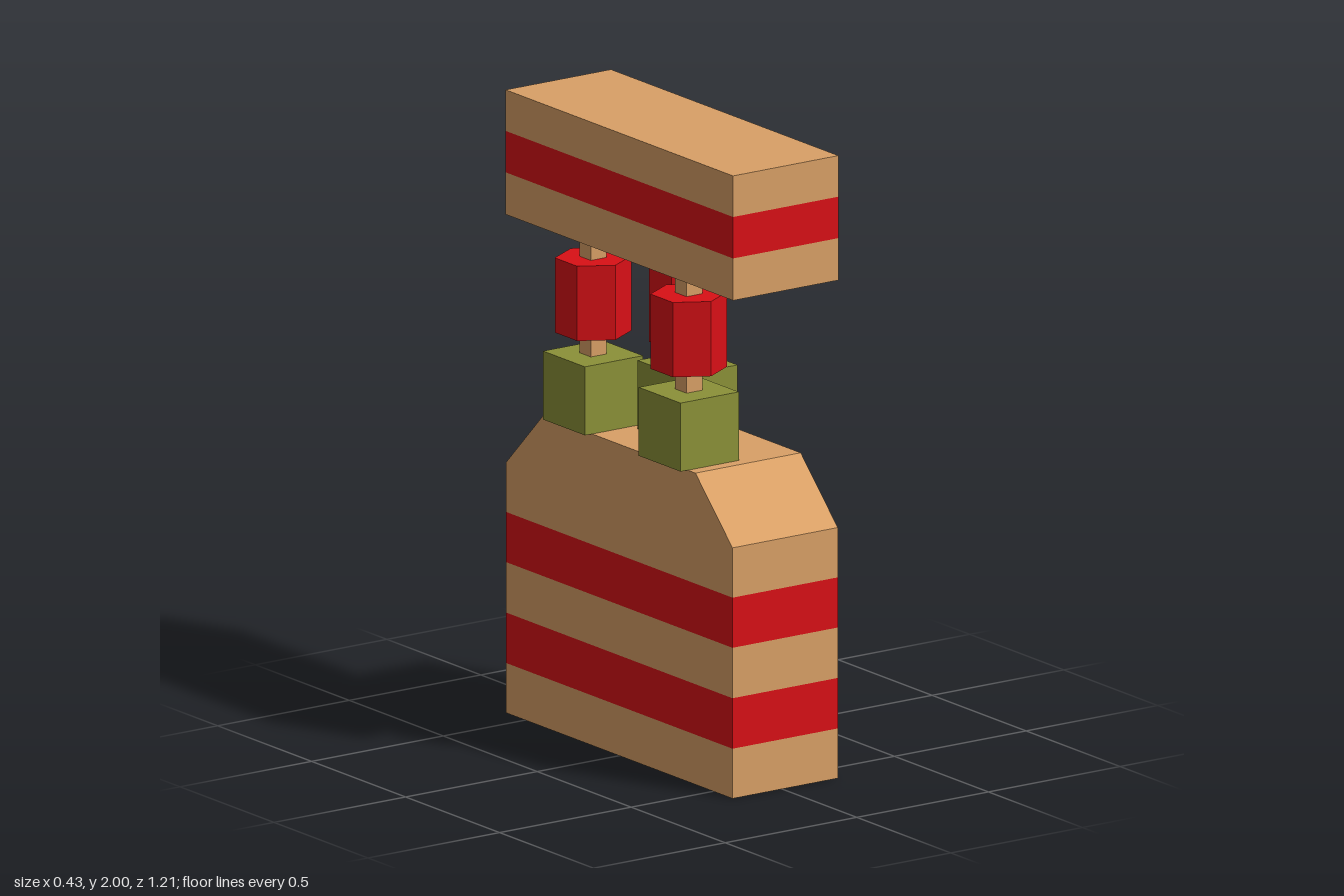
import * as THREE from 'three';

const material = (color) => new THREE.MeshStandardMaterial({ color, flatShading: true });
const tan = material(0xd9a066);
const red = material(0xd91016);
const olive = material(0x8b9138);

const CENTRE_X = 0.012;
const WIDTH = 0.4;

function addMesh(parent, name, geometry, mat, x, y, z) {
  const mesh = new THREE.Mesh(geometry, mat);
  mesh.name = name;
  mesh.position.set(x, y, z);
  parent.add(mesh);
  return mesh;
}

// Stack of alternating plain and red layers between the given heights
function addLayers(parent, name, heights, length) {
  for (let i = 0; i < heights.length - 1; i++) {
    const h = heights[i + 1] - heights[i];
    const striped = i % 2 === 1;
    addMesh(parent, name + (striped ? 'Stripe' : 'Layer'), new THREE.BoxGeometry(WIDTH, h, length),
      striped ? red : tan, CENTRE_X, heights[i] + h / 2, 0);
  }
}

export function createModel() {
  const model = new THREE.Group();

  // Striped base block
  const base = new THREE.Group();
  base.name = 'base';
  addLayers(base, 'base', [0, 0.16, 0.322, 0.484, 0.645], 1.204);

  // Plain upper part of the base with sloping shoulders at both ends
  const profile = new THREE.Shape([
    [-0.602, 0.645], [0.602, 0.645], [0.602, 0.805], [0.405, 1], [-0.405, 1], [-0.602, 0.805],
  ].map(([z, y]) => new THREE.Vector2(z, y)));
  const shoulders = new THREE.ExtrudeGeometry(profile, { depth: WIDTH, bevelEnabled: false });
  shoulders.translate(0, 0, -WIDTH / 2).rotateY(Math.PI / 2);
  addMesh(base, 'baseShoulders', shoulders, tan, CENTRE_X, 0, 0);
  model.add(base);

  // Three staggered posts: cube foot, square rod and hexagonal collar
  for (const [x, z] of [[-0.105, 0.253], [0.071, 0], [-0.105, -0.256]]) {
    const post = new THREE.Group();
    post.name = 'post';
    post.position.set(x, 0, z);
    addMesh(post, 'postFoot', new THREE.BoxGeometry(0.221, 0.22, 0.223), olive, 0, 1.11, 0);
    addMesh(post, 'postRod', new THREE.BoxGeometry(0.06, 0.38, 0.06), tan, 0, 1.41, 0);
    addMesh(post, 'postCollar', new THREE.CylinderGeometry(0.119, 0.119, 0.24, 6), red, 0, 1.41, 0);
    model.add(post);
  }

  // Striped top beam
  const beam = new THREE.Group();
  beam.name = 'topBeam';
  addLayers(beam, 'beam', [1.6, 1.735, 1.868, 2], 1.21);
  model.add(beam);

  return model;
}
